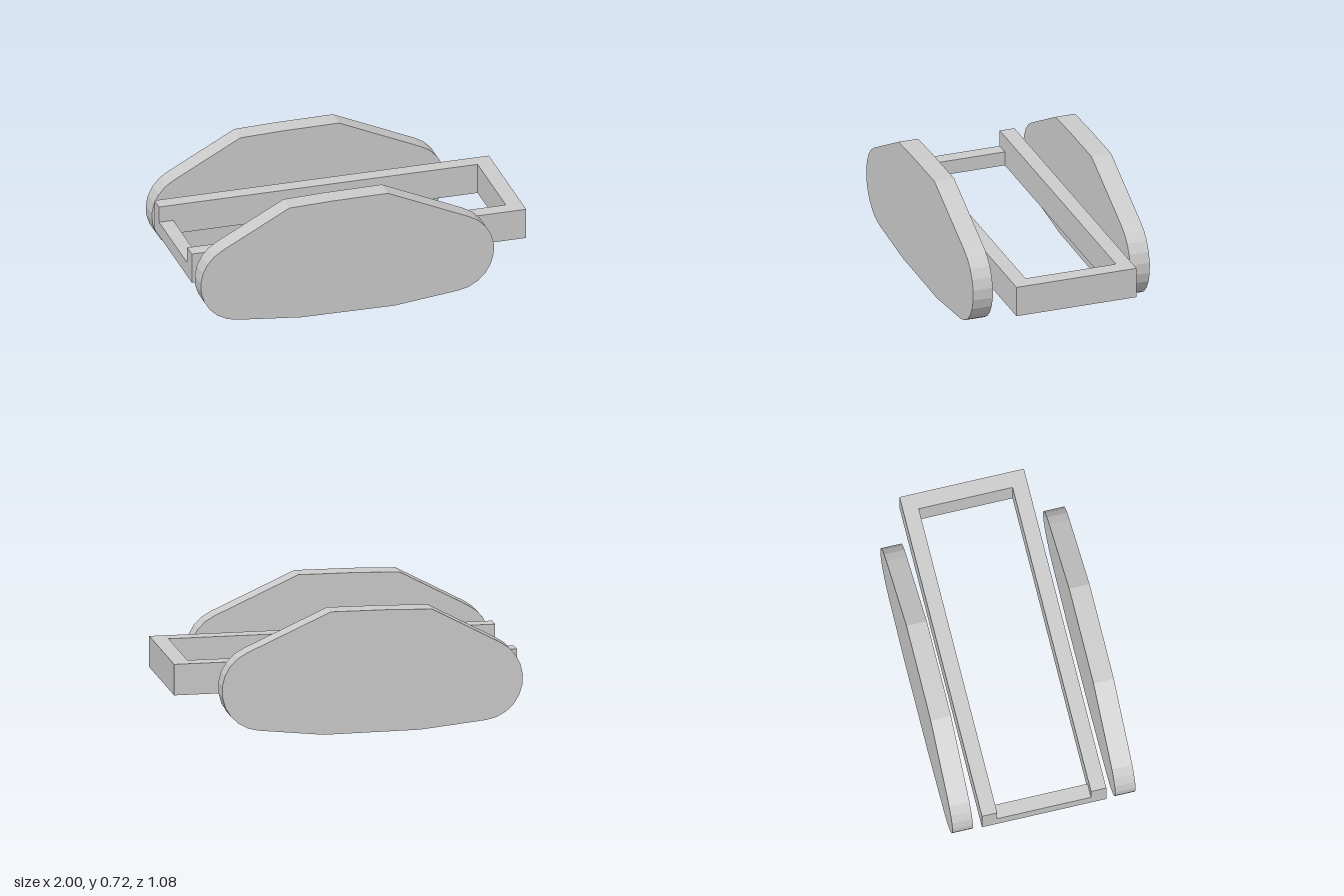
import * as THREE from 'three';

const material = new THREE.MeshStandardMaterial({ color: 0xcccccc, flatShading: true });

// Box given by its min and max corners
function box(name, [x0, y0, z0], [x1, y1, z1]) {
  const mesh = new THREE.Mesh(new THREE.BoxGeometry(x1 - x0, y1 - y0, z1 - z0), material);
  mesh.position.set((x0 + x1) / 2, (y0 + y1) / 2, (z0 + z1) / 2);
  mesh.name = name;
  return mesh;
}

// Faceted arc as points, angles in degrees
function arc(cx, cy, r, from, to, steps) {
  return Array.from({ length: steps + 1 }, (_, i) => {
    const a = THREE.MathUtils.degToRad(from + ((to - from) * i) / steps);
    return new THREE.Vector2(cx + r * Math.cos(a), cy + r * Math.sin(a));
  });
}

export function createModel() {
  const group = new THREE.Group();
  group.name = 'trackedHull';

  // Track outline, counter-clockwise: rounded ends joined by straight runs
  const outline = new THREE.Shape([
    ...arc(0.515, 0.28, 0.24, -84, 68, 10),
    new THREE.Vector2(0.12, 0.72),
    new THREE.Vector2(-0.22, 0.718),
    new THREE.Vector2(-0.47, 0.71),
    ...arc(-0.76, 0.283, 0.24, 116, 264, 10),
    new THREE.Vector2(-0.4, 0.005),
    new THREE.Vector2(0.16, 0),
  ]);
  const trackGeometry = new THREE.ExtrudeGeometry(outline, { depth: 0.12, bevelEnabled: false });
  trackGeometry.translate(0, 0, -0.06);

  // Track and frame rail on each side
  for (const [side, s] of [['front', 1], ['back', -1]]) {
    const track = new THREE.Mesh(trackGeometry, material);
    track.position.z = s * 0.479;
    track.name = side + 'Track';
    group.add(track);

    const z = s * 0.321;
    group.add(box(side + 'Rail', [-1, 0.23, z - 0.045], [1, 0.412, z + 0.045]));
  }

  // Cross members: full height at one end, low at the other
  group.add(box('tallCrossbar', [0.905, 0.23, -0.276], [1, 0.412, 0.276]));
  group.add(box('lowCrossbar', [-1, 0.23, -0.276], [-0.915, 0.315, 0.276]));

  return group;
}
